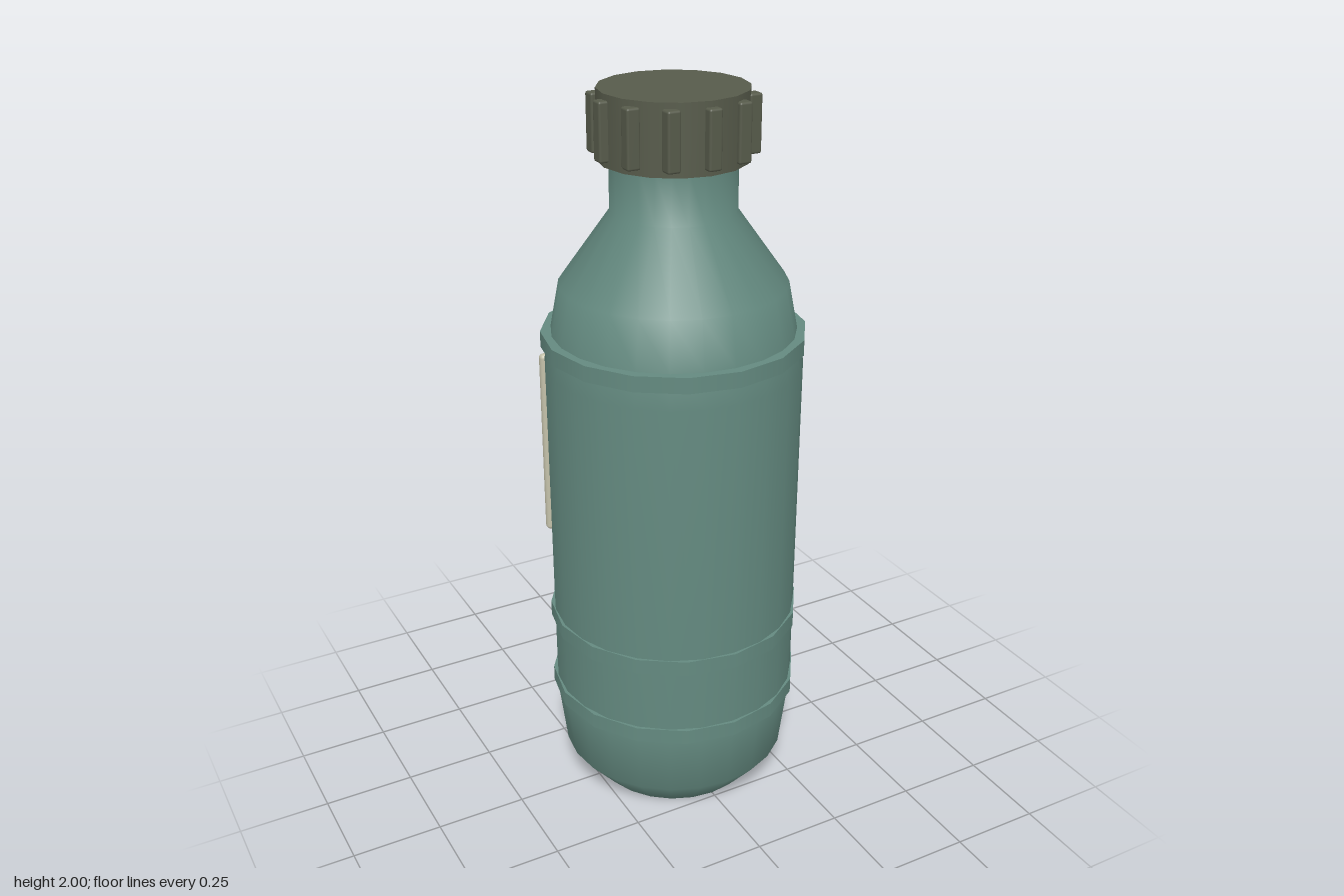
import * as THREE from 'three';
import { RoundedBoxGeometry } from 'three/addons/geometries/RoundedBoxGeometry.js';

export function createModel() {
  const group = new THREE.Group();
  const bottleGreen = new THREE.MeshStandardMaterial({ color: 0x648a80 });
  bottleGreen.name = 'bottleGreen';
  const capOlive = new THREE.MeshStandardMaterial({ color: 0x575b4b });
  capOlive.name = 'capOlive';
  const labelCream = new THREE.MeshStandardMaterial({ color: 0xc4c1aa });
  labelCream.name = 'labelCream';

  const add = (name, geometry, material, x = 0, y = 0, z = 0) => {
    const mesh = new THREE.Mesh(geometry, material);
    mesh.name = name;
    mesh.position.set(x, y, z);
    group.add(mesh);
    return mesh;
  };

  // Bottle body: tapered foot, straight wall, shoulder and neck
  const profile = [
    [0, 0], [0.235, 0], [0.32, 0.1], [0.342, 0.28], [0.344, 1.28],
    [0.325, 1.37], [0.3, 1.5], [0.164, 1.69], [0.164, 1.83],
  ].map(([r, y]) => new THREE.Vector2(r, y));
  add('bottleBody', new THREE.LatheGeometry(profile, 24), bottleGreen);

  // Raised bands, coarser than the body so they just break its surface
  const bandGeometry = new THREE.CylinderGeometry(0.351, 0.351, 0.043, 16);
  [['lowerBand', 0.303], ['middleBand', 0.527], ['shoulderBand', 1.35]]
    .forEach(([name, y]) => add(name, bandGeometry, bottleGreen, 0, y, 0));

  // Screw cap with twelve square grip ribs
  add('cap', new THREE.CylinderGeometry(0.193, 0.193, 0.18, 16), capOlive, 0, 1.91, 0);
  const ribGeometry = new RoundedBoxGeometry(0.036, 0.15, 0.036, 2, 0.006);
  for (let i = 0; i < 12; i++) {
    const a = (i / 12) * Math.PI * 2;
    add('capRib', ribGeometry, capOlive, Math.sin(a) * 0.195, 1.91, Math.cos(a) * 0.195);
  }

  // Flat label plate on the back
  add('labelPlate', new RoundedBoxGeometry(0.482, 0.555, 0.027, 3, 0.012),
    labelCream, 0, 0.938, -0.342);

  return group;
}
